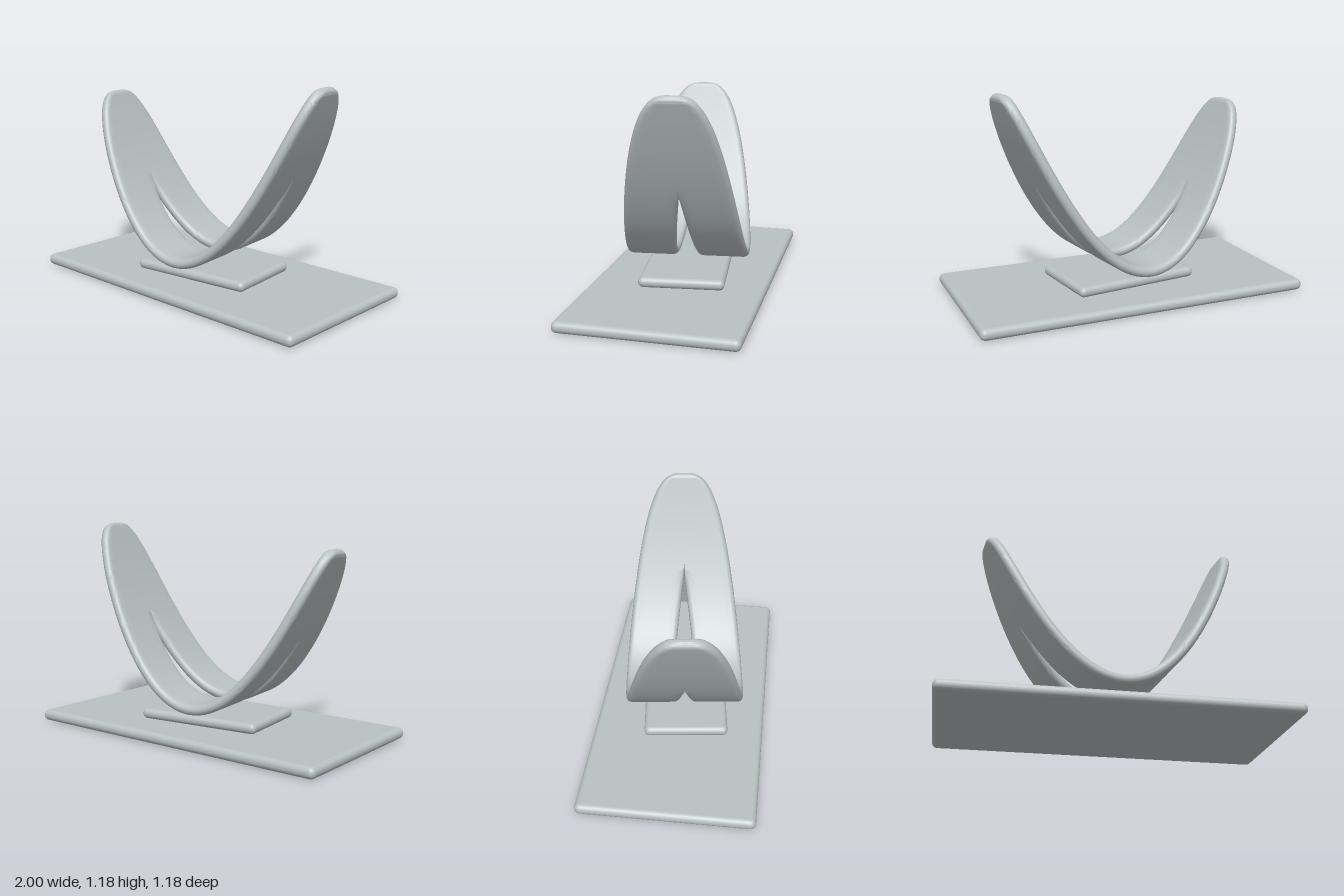
import * as THREE from 'three';
import { toCreasedNormals } from 'three/addons/utils/BufferGeometryUtils.js';
import { RoundedBoxGeometry } from 'three/addons/geometries/RoundedBoxGeometry.js';

const HALF = 0.028;                       // half thickness of the bent band
const CENTRE = -0.0075, REACH = 0.7225;   // band extent along x
const LOW_X = -0.03, LOW_Y = 0.181, BEND = 1.79;   // parabola of the bend

const slope = (x) => 2 * BEND * (x - LOW_X);
const outerEdge = (t) => 0.345 * Math.pow(Math.max(0, 1 - t * t), 0.33);
const slitEdge = (x) => 0.06 * Math.max(0, 1 - (x / 0.46) ** 2);

// Rounded cross-section from the slit to the rim, as [z, height] pairs
function section(zi, zo, h, innerRound) {
  const points = [], steps = 8, flat = 6;
  const width = zo - zi;
  const ro = Math.min(HALF, width / 2);
  const ri = Math.min(HALF * innerRound, width / 2);
  for (let i = 0; i <= steps; i++) {
    const a = -Math.PI / 2 + (Math.PI * i) / steps;
    points.push([zo - ro + ro * Math.cos(a), h * Math.sin(a)]);
  }
  for (let i = 1; i < flat; i++) points.push([THREE.MathUtils.lerp(zo - ro, zi + ri, i / flat), h]);
  for (let i = 0; i <= steps; i++) {
    const a = Math.PI / 2 + (Math.PI * i) / steps;
    points.push([zi + ri + ri * Math.cos(a), h * Math.sin(a)]);
  }
  for (let i = 1; i < flat; i++) points.push([THREE.MathUtils.lerp(zi + ri, zo - ro, i / flat), -h]);
  return points;
}

// One side of the bent band, swept along the parabola from tip to tip
function bandHalf(side) {
  const positions = [], index = [], rows = 140;
  let ring = 0;
  for (let i = 0; i <= rows; i++) {
    const w = (2 * i) / rows - 1;
    const t = Math.sign(w) * (1 - Math.pow(1 - Math.abs(w), 2.6));   // denser at the tips
    const x = CENTRE + REACH * t;
    const m = slope(x), len = Math.hypot(1, m);
    const toTip = Math.min(1, (REACH * (1 - Math.abs(t)) * len) / HALF);
    const h = HALF * Math.sqrt(Math.max(0, 1 - (1 - toTip) ** 2));
    const zo = outerEdge(t), zi = Math.min(slitEdge(x), zo);
    const innerRound = 1 - THREE.MathUtils.smoothstep(Math.abs(x), 0.42, 0.5);
    const y = LOW_Y + BEND * (x - LOW_X) ** 2;
    const points = section(zi, zo, h, innerRound);
    ring = points.length;
    for (const [z, n] of points) positions.push(x - (n * m) / len, y + n / len, side * z);
  }
  for (let i = 0; i < rows; i++) {
    for (let j = 0; j < ring; j++) {
      const k = (j + 1) % ring;
      const a = i * ring + j, b = a + ring, c = (i + 1) * ring + k, d = i * ring + k;
      if (side > 0) index.push(a, b, c, a, c, d);
      else index.push(a, c, b, a, d, c);
    }
  }
  const geometry = new THREE.BufferGeometry();
  geometry.setAttribute('position', new THREE.Float32BufferAttribute(positions, 3));
  geometry.setIndex(index);
  return toCreasedNormals(geometry, 0.9);
}

export function createModel() {
  const model = new THREE.Group();
  model.name = 'bentLoopOnPlinth';
  const paleGrey = new THREE.MeshStandardMaterial({ color: 0xb9c1c3 });
  paleGrey.name = 'paleGrey';

  const add = (name, geometry, parent = model) => {
    const mesh = new THREE.Mesh(geometry, paleGrey);
    mesh.name = name;
    parent.add(mesh);
    return mesh;
  };

  // Large slab, turned slightly
  const base = add('base', new RoundedBoxGeometry(1.9, 0.063, 0.965, 6, 0.03));
  base.position.y = 0.0315;
  base.rotation.y = -0.12;

  // Small plate lying on the slab
  const plate = add('plate', new RoundedBoxGeometry(0.737, 0.058, 0.475, 6, 0.028));
  plate.position.set(-0.003, 0.093, 0.007);

  // Bent band with a pointed slit along its middle
  const band = new THREE.Group();
  band.name = 'bentBand';
  model.add(band);
  add('bandFront', bandHalf(1), band);
  add('bandBack', bandHalf(-1), band);

  return model;
}
